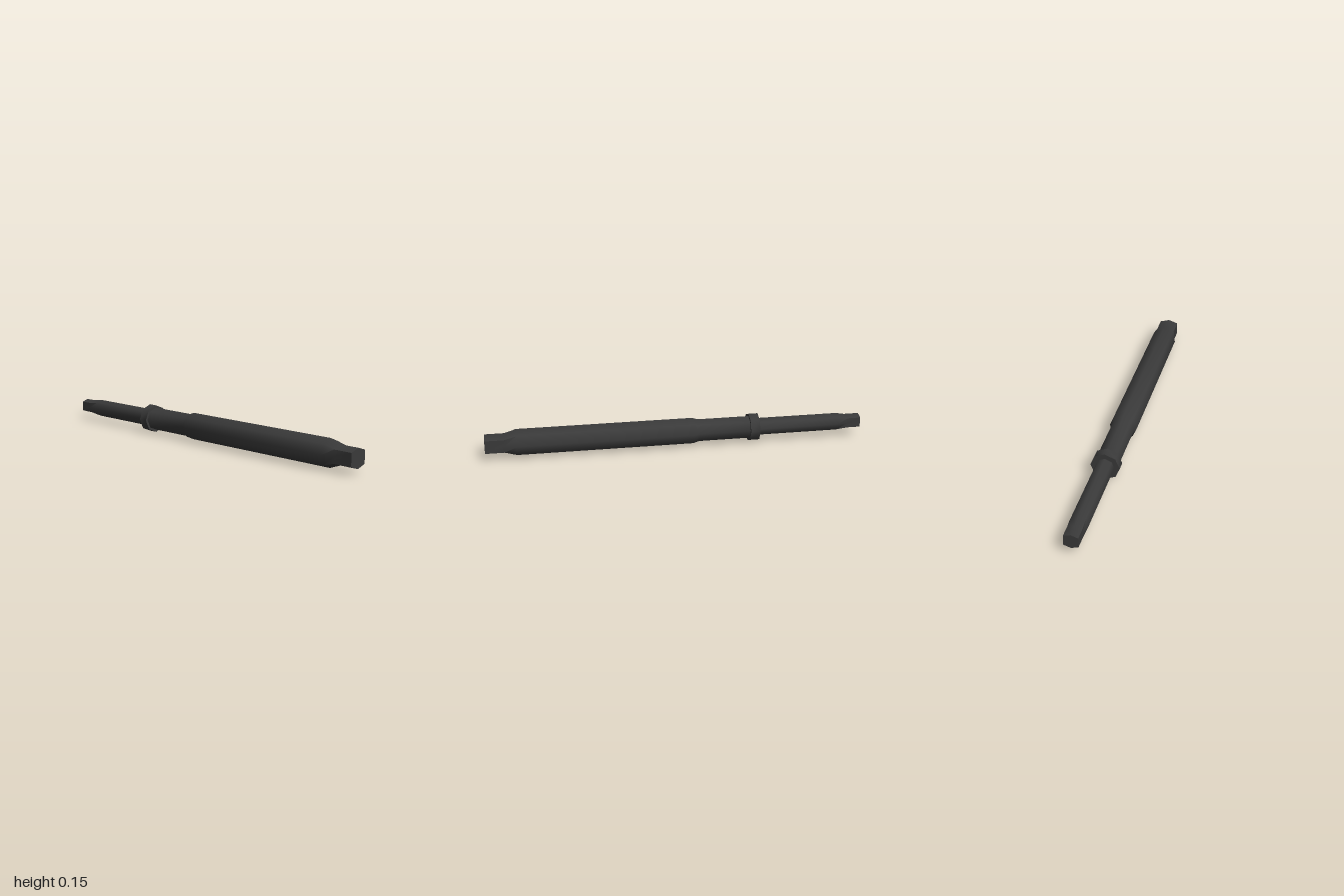
import * as THREE from 'three';
import { toCreasedNormals } from 'three/addons/utils/BufferGeometryUtils.js';

const AXIS_Y = 0.076;

// Eight-point ring: top/bottom height, side width, and the diagonal corner (y, z)
const ring = (x, top, side, cy, cz) => [
  [x, top, 0], [x, cy, cz], [x, 0, side], [x, -cy, cz],
  [x, -top, 0], [x, -cy, -cz], [x, 0, -side], [x, cy, -cz],
];
const round = (x, r) => ring(x, r, r, r * Math.SQRT1_2, r * Math.SQRT1_2);

// Closed skin through rings running along +x, with end caps
function loft(rings) {
  const n = 8, index = [], last = (rings.length - 1) * n;
  for (let i = 0; i < rings.length - 1; i++) {
    for (let j = 0; j < n; j++) {
      const a = i * n + j, b = i * n + (j + 1) % n;
      index.push(a, b, a + n, b, b + n, a + n);
    }
  }
  for (let j = 1; j < n - 1; j++) {
    index.push(0, j + 1, j);
    index.push(last, last + j, last + j + 1);
  }
  const geo = new THREE.BufferGeometry();
  geo.setAttribute('position', new THREE.Float32BufferAttribute(rings.flat(2), 3));
  geo.setIndex(index);
  return toCreasedNormals(geo, Math.PI / 3);
}

export function createModel() {
  const group = new THREE.Group();
  group.name = 'stepped rod';
  const material = new THREE.MeshStandardMaterial({ color: 0x3a3a3a });
  const add = (name, rings) => {
    const mesh = new THREE.Mesh(loft(rings), material);
    mesh.name = name;
    mesh.position.y = AXIS_Y;
    group.add(mesh);
  };

  // Thin shaft with a flat-sided narrow tip
  add('thinShaft', [
    ring(-1, 0.038, 0.036, 0.026, 0.036),
    ring(-0.93, 0.038, 0.036, 0.026, 0.036),
    round(-0.87, 0.048),
    round(-0.42, 0.048),
  ]);

  // Ring between shaft and grip
  add('collar', [round(-0.435, 0.075), round(-0.385, 0.075)]);

  // Neck widening into the grip, then a flat-sided end
  add('grip', [
    round(-0.4, 0.062),
    round(-0.11, 0.062),
    round(-0.08, 0.072),
    round(0.84, 0.072),
    ring(0.9, 0.05, 0.051, 0.034, 0.051),
    ring(1, 0.05, 0.051, 0.034, 0.051),
  ]);

  return group;
}
